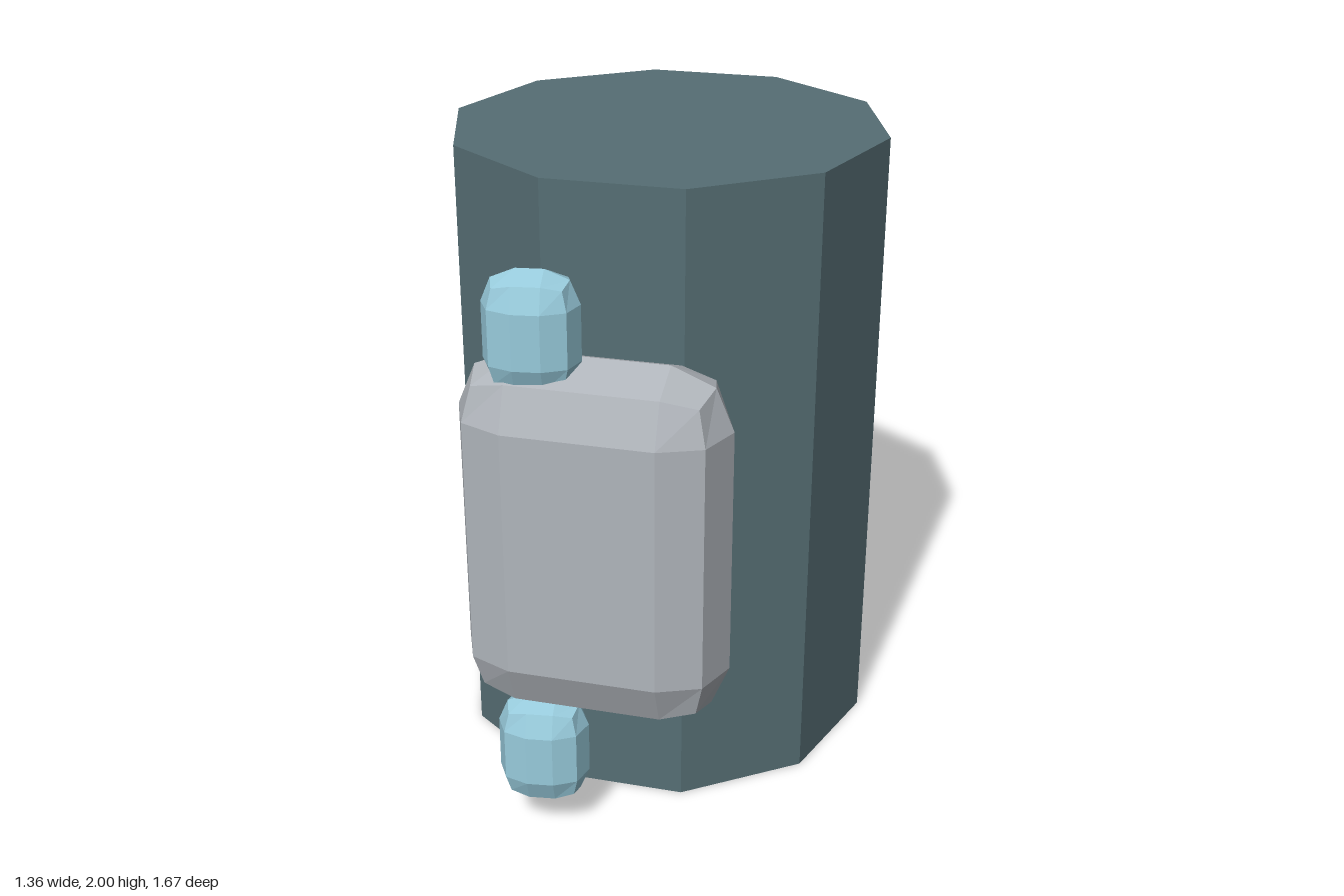
import * as THREE from 'three';
import { RoundedBoxGeometry } from 'three/addons/geometries/RoundedBoxGeometry.js';

const flat = (name, color) => new THREE.MeshStandardMaterial({ name, color, flatShading: true });

export function createModel() {
  const group = new THREE.Group();
  const slate = flat('slate', 0x566e74);
  const grey = flat('paleGrey', 0xb0b5bb);
  const blue = flat('lightBlue', 0x98cbdc);

  const add = (name, geometry, material, x, y, z, turn = 0) => {
    const mesh = new THREE.Mesh(geometry, material);
    mesh.name = name;
    mesh.position.set(x, y, z);
    mesh.rotation.y = turn;
    group.add(mesh);
  };

  // Ten-sided column with a flat side facing the front
  add('column', new THREE.CylinderGeometry(0.68, 0.68, 2, 10, 1, false, Math.PI / 10),
    slate, 0, 1, -0.19);

  // Large chamfered block in front of the column
  add('block', new RoundedBoxGeometry(0.8, 1.12, 0.36, 1, 0.18), grey, 0, 1.005, 0.655);

  // Two small capsules, above and below the block, turned slightly
  const capsule = new RoundedBoxGeometry(0.276, 0.36, 0.196, 1, 0.098);
  add('upperCapsule', capsule, blue, -0.163, 1.643, 0.694, 0.14);
  add('lowerCapsule', capsule, blue, -0.163, 0.285, 0.694, 0.14);

  return group;
}
